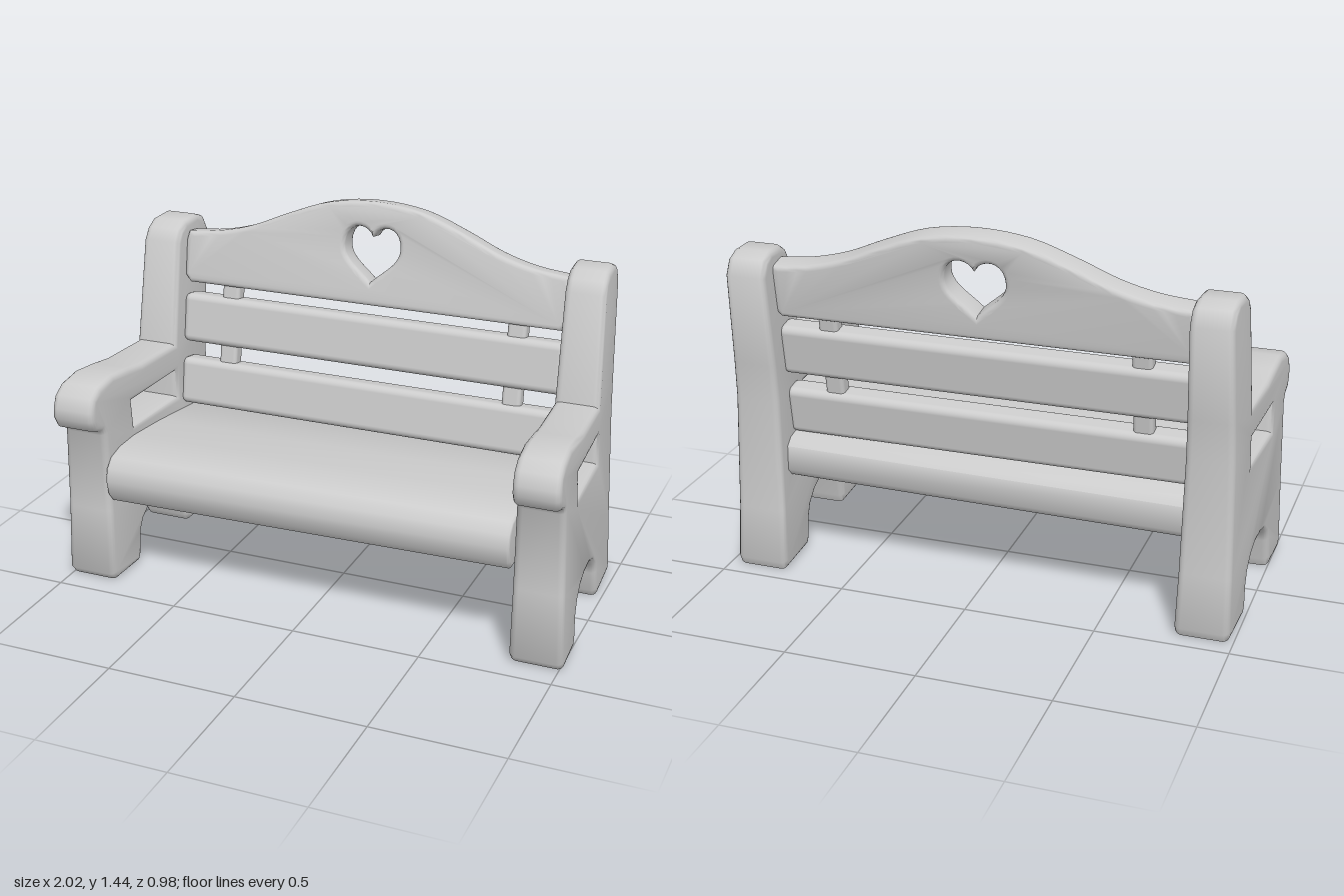
import * as THREE from 'three';
import { toCreasedNormals } from 'three/addons/utils/BufferGeometryUtils.js';
import { RoundedBoxGeometry } from 'three/addons/geometries/RoundedBoxGeometry.js';

const grey = new THREE.MeshStandardMaterial({ color: 0xcccccc });
grey.name = 'plain grey';

const toPoints = (pairs) => pairs.map(([a, b]) => new THREE.Vector2(a, b));

function add(parent, name, geometry) {
  const mesh = new THREE.Mesh(geometry, grey);
  mesh.name = name;
  parent.add(mesh);
  return mesh;
}

// Extrusion centred on its depth, with soft edges inside the outline
function softExtrude(shape, depth, bevel) {
  const g = new THREE.ExtrudeGeometry(shape, {
    depth: depth - 2 * bevel, bevelEnabled: true, bevelThickness: bevel,
    bevelSize: bevel, bevelOffset: -bevel, bevelSegments: 4, curveSegments: 10,
  });
  return g.translate(0, 0, bevel - depth / 2);
}

// Side panel: legs, armrest and back post in one outline of [z, y]
const PANEL = [
  [0.39, 0], [0.415, 0.03], [0.405, 0.3], [0.405, 0.62], [0.42, 0.642], [0.465, 0.658],
  [0.488, 0.7], [0.488, 0.74], [0.468, 0.79], [0.42, 0.822], [0.32, 0.838], [0.2, 0.826],
  [0.1, 0.811], [-0.155, 0.804], [-0.225, 1.21], [-0.255, 1.255], [-0.3, 1.282],
  [-0.4, 1.285], [-0.455, 1.265], [-0.488, 1.205], [-0.44, 0.85], [-0.424, 0.7],
  [-0.428, 0.25], [-0.443, 0.035], [-0.425, 0], [-0.2, 0], [-0.178, 0.03], [-0.17, 0.11],
  [-0.15, 0.155], [-0.1, 0.195], [-0.04, 0.215], [0.05, 0.215], [0.11, 0.2],
  [0.16, 0.165], [0.185, 0.12], [0.193, 0.035], [0.21, 0],
];
const SLOT = [[-0.15, 0.58], [-0.15, 0.685], [0.19, 0.685], [0.183, 0.58]];

function panelGeometry(centre) {
  const shape = new THREE.Shape(toPoints(PANEL));
  shape.holes.push(new THREE.Path(toPoints(SLOT)));
  const g = softExtrude(shape, 1, 0.025).rotateY(-Math.PI / 2);
  const p = g.attributes.position;
  for (let i = 0; i < p.count; i++) {
    const y = p.getY(i), z = p.getZ(i), x = p.getX(i);
    // Keep the bevel width while the panel thins towards the top
    const half = (0.205 - 0.04 * y) / 2;
    p.setX(i, centre(y, z) + Math.sign(x) * (half - (0.5 - Math.abs(x))));
  }
  return toCreasedNormals(g, 0.9);
}

// Seat plank with a rolled front edge, outline of [z, y]
const SEAT = [
  [0.39, 0.358], [0.415, 0.39], [0.428, 0.45], [0.415, 0.5], [0.38, 0.535], [0.31, 0.553],
  [0.2, 0.557], [0, 0.543], [-0.32, 0.51], [-0.355, 0.485], [-0.36, 0.39], [-0.33, 0.358],
];

function topBoardGeometry(toLocal) {
  const arch = new THREE.SplineCurve(toPoints([
    [0.78, 1.235], [0.64, 1.25], [0.5, 1.287], [0.35, 1.35], [0.18, 1.41], [-0.01, 1.43],
    [-0.2, 1.41], [-0.37, 1.35], [-0.52, 1.287], [-0.66, 1.25], [-0.8, 1.235],
  ]).map((v) => v.setY(toLocal(v.y))));
  const low = toLocal(1.03);
  const shape = new THREE.Shape([
    ...arch.getPoints(40),
    ...toPoints([[-0.81, low + 0.17], [-0.81, low + 0.03], [-0.785, low],
      [0.765, low], [0.79, low + 0.03], [0.79, low + 0.17]]),
  ]);
  // Heart cut-out
  const cx = -0.01, top = toLocal(1.295), tip = toLocal(1.12);
  const heart = new THREE.Path();
  heart.moveTo(cx, tip);
  heart.bezierCurveTo(cx - 0.05, tip + 0.05, cx - 0.115, tip + 0.08, cx - 0.115, tip + 0.14);
  heart.bezierCurveTo(cx - 0.115, top + 0.055, cx - 0.025, top + 0.055, cx, top);
  heart.bezierCurveTo(cx + 0.025, top + 0.055, cx + 0.115, top + 0.055, cx + 0.115, tip + 0.14);
  heart.bezierCurveTo(cx + 0.115, tip + 0.08, cx + 0.05, tip + 0.05, cx, tip);
  shape.holes.push(heart);
  return toCreasedNormals(softExtrude(shape, 0.105, 0.02), 0.9);
}

export function createModel() {
  const bench = new THREE.Group();
  bench.name = 'bench';

  // Sides, each slightly splayed in its own way
  add(bench, 'leftSide', panelGeometry((y, z) => 0.89 + 0.06 * z - 0.012 * y));
  add(bench, 'rightSide', panelGeometry((y, z) => -0.895 - 0.03 * z));

  // Seat, a touch crooked
  const seatShape = new THREE.Shape(toPoints(SEAT));
  const seatGeometry = softExtrude(seatShape, 1.62, 0.012).rotateY(-Math.PI / 2);
  const seat = add(bench, 'seat', toCreasedNormals(seatGeometry, 0.9));
  seat.rotation.z = 0.0125;

  // Reclined backrest
  const baseY = 0.62, tilt = 0.158;
  const toLocal = (y) => (y - baseY) / Math.cos(tilt);
  const back = new THREE.Group();
  back.name = 'backrest';
  back.position.set(0, baseY, -0.252);
  back.rotation.x = -tilt;
  bench.add(back);

  add(back, 'topBoard', topBoardGeometry(toLocal));
  for (const [name, y0, y1] of [['middleSlat', 0.785, 0.985], ['lowerSlat', 0.53, 0.722]]) {
    const slat = add(back, name, new RoundedBoxGeometry(1.6, y1 - y0, 0.1, 4, 0.028));
    slat.position.set(-0.01, toLocal((y0 + y1) / 2), 0);
  }

  // Pegs joining the slats
  for (const x of [-0.61, 0.59]) {
    for (const y of [0.755, 1.008]) {
      const peg = add(back, 'peg', new RoundedBoxGeometry(0.075, 0.13, 0.06, 3, 0.015));
      peg.position.set(x, toLocal(y), 0);
    }
  }
  return bench;
}
